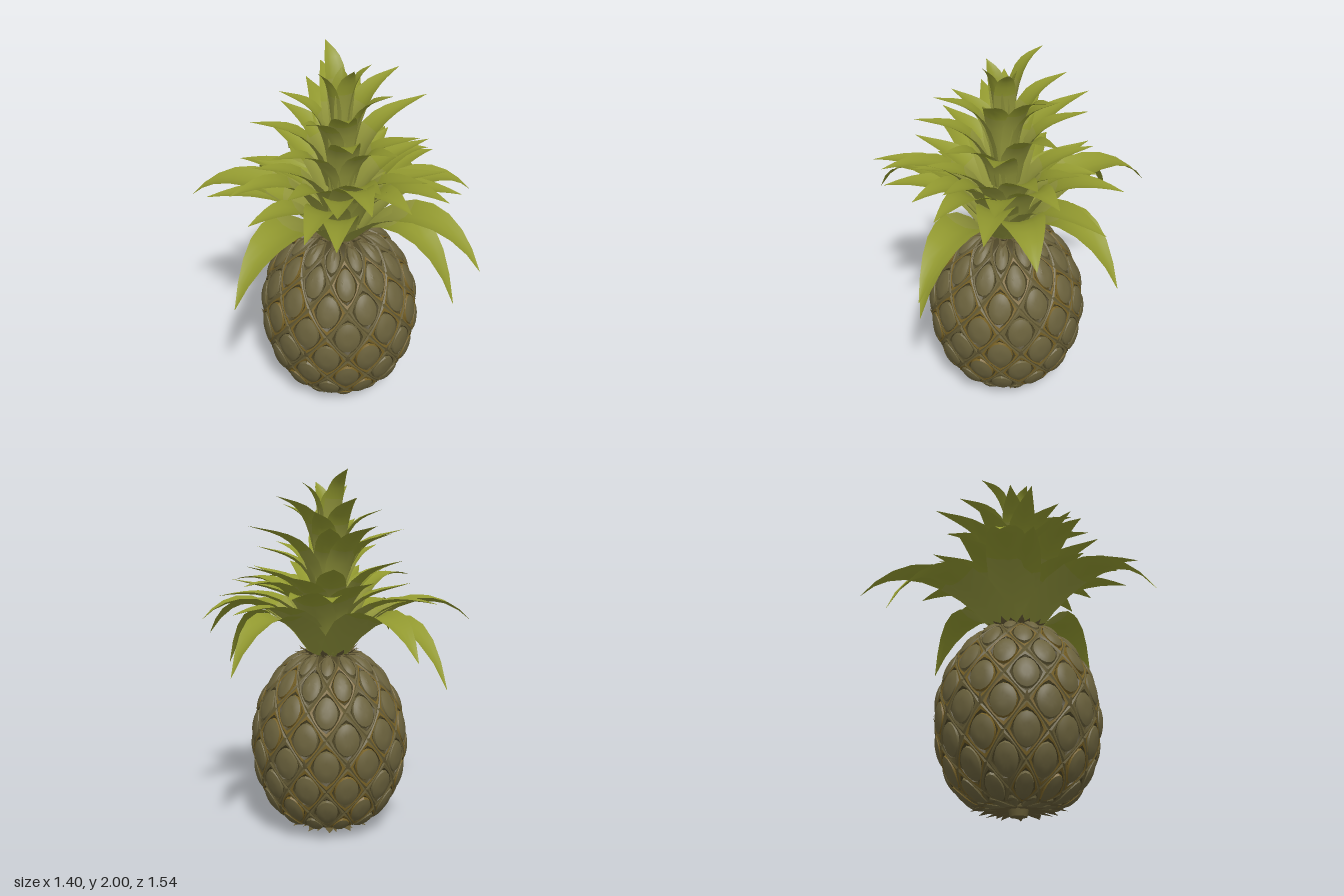
import * as THREE from 'three';
import { mergeGeometries, mergeVertices, toCreasedNormals } from 'three/addons/utils/BufferGeometryUtils.js';

const CX = 0.01, CZ = 0.112; // axis of fruit and crown

function material(name, color, side = THREE.FrontSide) {
  const m = new THREE.MeshStandardMaterial({ color, side });
  m.name = name;
  return m;
}

function surface(positions, index) {
  const g = new THREE.BufferGeometry();
  g.setAttribute('position', new THREE.Float32BufferAttribute(positions, 3));
  g.setIndex(index);
  return g;
}

// Fruit outline: radius, height
const outline = new THREE.CatmullRomCurve3([
  [0.04, 0.06], [0.16, 0.06], [0.235, 0.075], [0.315, 0.14], [0.38, 0.26], [0.415, 0.4], [0.422, 0.53],
  [0.402, 0.67], [0.353, 0.79], [0.28, 0.9], [0.2, 0.97], [0.12, 1.0],
].map(([r, y]) => new THREE.Vector3(r, y, 0)));

// Point on the fruit skin at an angle and arc position, lifted by h
function skin(theta, s, h) {
  const t = THREE.MathUtils.clamp(s, 0, 1);
  const p = outline.getPointAt(t), d = outline.getTangentAt(t);
  const r = p.x + d.y * h, y = p.y - d.x * h;
  return [r * Math.sin(theta), y, r * Math.cos(theta)];
}

// One band of a scale between two concentric rings: size, lift, roundness power
function scaleBand(theta, s, halfAngle, halfArc, outer, inner) {
  const sides = 16, pos = [], idx = [];
  for (const [f, h, power] of [outer, inner]) {
    for (let j = 0; j < sides; j++) {
      const a = (j / sides) * Math.PI * 2, c = Math.cos(a), d = Math.sin(a);
      const k = f / Math.pow(Math.abs(c) ** power + Math.abs(d) ** power, 1 / power);
      pos.push(...skin(theta + c * k * halfAngle, s + d * k * halfArc, h));
    }
  }
  for (let j = 0; j < sides; j++) {
    const n = (j + 1) % sides;
    idx.push(j, n, sides + n, j, sides + n, sides + j);
  }
  return surface(pos, idx);
}

// Arching leaf from the axis at rootY to a tip, cupped across its width
function leaf(tip, rootY, peakY, width, rootR, rise = 0.25, cup = 0.35) {
  const dir = new THREE.Vector3(tip[0] - CX, 0, tip[2] - CZ);
  const reach = dir.length();
  dir.normalize();
  const at = (r, y) => new THREE.Vector3(CX + dir.x * r, y, CZ + dir.z * r);
  const curve = new THREE.CubicBezierCurve3(
    at(rootR, rootY), at(rootR + (reach - rootR) * rise, peakY),
    at(rootR + (reach - rootR) * (rise + 0.4), peakY), at(reach, tip[1]));
  const side = new THREE.Vector3(dir.z, 0, -dir.x);
  const widths = [0.78, 0.91, 1, 0.98, 0.88, 0.71, 0.49, 0.25, 0.01];
  const pos = [], idx = [], across = 4, rows = widths.length;
  widths.forEach((w, i) => {
    const t = i / (rows - 1), p = curve.getPoint(t);
    const up = new THREE.Vector3().crossVectors(curve.getTangent(t), side).normalize();
    for (let j = 0; j <= across; j++) {
      const u = (j / across) * 2 - 1;
      const q = p.clone().addScaledVector(side, u * w * width)
        .addScaledVector(up, u * u * w * width * cup * (1 - 0.4 * t));
      pos.push(q.x, q.y, q.z);
      if (i < rows - 1 && j < across) {
        const a = i * (across + 1) + j, b = a + across + 1;
        idx.push(a, b, a + 1, a + 1, b, b + 1);
      }
    }
  });
  const g = surface(pos, idx);
  g.computeVertexNormals();
  return g;
}

// Leaf tips of the upper crown, tier by tier
const upperTiers = [
  { rootY: 1.16, rootR: 0.08, width: 0.085, rise: 0.22, tips: [
    [-0.46, 1.5, 0.15], [0.48, 1.5, 0.16], [0.48, 1.42, 0.38], [-0.2, 1.43, 0.62], [0.28, 1.48, 0.55],
    [0.02, 1.5, 0.6], [-0.38, 1.47, 0.45], [-0.25, 1.53, -0.24], [0.2, 1.5, -0.3], [0.02, 1.43, -0.38],
    [-0.38, 1.4, -0.12], [0.38, 1.46, -0.12]] },
  { rootY: 1.3, rootR: 0.07, width: 0.08, rise: 0.15, tips: [
    [-0.43, 1.69, 0.04], [0.5, 1.71, 0.07], [-0.4, 1.6, 0.28], [0.35, 1.6, 0.32], [-0.1, 1.7, 0.54],
    [0.15, 1.62, 0.5], [-0.2, 1.67, -0.2], [0.2, 1.7, -0.26], [0, 1.71, -0.38]] },
  { rootY: 1.43, rootR: 0.055, width: 0.07, rise: 0.12, tips: [
    [-0.26, 1.8, -0.02], [0.36, 1.86, 0.02], [0.2, 1.83, 0.3], [-0.08, 1.8, 0.44], [-0.25, 1.75, 0.28],
    [0.03, 1.85, -0.23], [0.2, 1.78, -0.1]] },
  { rootY: 1.53, rootR: 0.035, width: 0.055, rise: 0.12, tips: [
    [-0.12, 1.93, 0.14], [0.15, 1.94, 0.15], [0.03, 1.95, 0.23], [0.04, 1.91, 0.05], [0.01, 2, -0.1]] },
];

export function createModel() {
  const model = new THREE.Group();
  const mats = {
    groove: material('darkGroove', 0x4c4426),
    rim: material('scaleRim', 0x665c36),
    gold: material('goldenEdge', 0x776126),
    plate: material('scalePlate', 0x6b623d),
    bract: material('dryBract', 0x655a36, THREE.DoubleSide),
    leafBase: material('paleLeafGreen', 0x94983d, THREE.DoubleSide),
    leafTip: material('leafGreen', 0x91982f, THREE.DoubleSide),
  };
  const add = (name, geometry, mat, parent) => {
    const m = new THREE.Mesh(geometry, mat);
    m.name = name;
    parent.add(m);
    return m;
  };

  // Fruit body
  const fruit = new THREE.Group();
  fruit.name = 'fruit';
  fruit.position.set(CX, 0, CZ);
  model.add(fruit);
  const profile = outline.getSpacedPoints(32).map(p => new THREE.Vector2(p.x, p.y));
  profile.unshift(new THREE.Vector2(0, 0.06));
  profile.push(new THREE.Vector2(0, 1.01));
  add('fruitBody', new THREE.LatheGeometry(profile, 36), mats.groove, fruit);

  // Staggered scales: raised rim, bevel, thin groove and domed plate
  const count = 12, rows = 9, spacing = 0.108;
  const rings = [[1, 0.006, 1.1], [0.88, 0.013, 1.1], [0.74, 0.011, 1.3], [0.63, 0.002, 1.8],
    [0.58, 0.014, 1.9], [0.42, 0.02, 1.9], [0.2, 0.024, 2], [0.001, 0.02, 2]];
  const bandKeys = ['rim', 'rim', 'groove', 'plate', 'plate', 'plate', 'plate'];
  const bands = { groove: [], rim: [], gold: [], plate: [] };
  for (let i = 0; i < rows; i++) {
    for (let j = 0; j < count; j++) {
      const theta = ((j + (i % 2) / 2) / count) * Math.PI * 2;
      const golden = i > 0 && i < 8 && (i * 5 + j * 7) % 3 > 0;
      bandKeys.forEach((key, k) => {
        const gilded = golden && (k === 1 || (k === 3 && (i + j) % 2 === 0));
        bands[gilded ? 'gold' : key].push(scaleBand(theta, 0.069 + i * spacing,
          Math.PI / count, spacing, rings[k], rings[k + 1]));
      });
    }
  }
  for (const [key, list] of Object.entries(bands)) {
    add(key + 'Scales', toCreasedNormals(mergeVertices(mergeGeometries(list)), 0.5), mats[key], fruit);
  }

  // Stem stub under the fruit
  const stem = add('stemStub', new THREE.CylinderGeometry(0.06, 0.045, 0.07, 12), mats.rim, fruit);
  stem.position.y = 0.036;

  // Dry bracts under the fruit, around its neck and along its waist
  const bracts = [];
  const bractRing = (n, rootR, rootY, reach, tipY, width, turn = 0) => {
    for (let i = 0; i < n; i++) {
      const a = ((i + turn) / n) * Math.PI * 2;
      bracts.push(leaf([CX + Math.sin(a) * reach, tipY, CZ + Math.cos(a) * reach],
        rootY, (rootY + tipY) / 2 - 0.003, width, rootR));
    }
  };
  bractRing(11, 0.05, 0.035, 0.19, 0.015, 0.026);
  bractRing(13, 0.15, 0.05, 0.25, 0.035, 0.03, 0.5);
  bractRing(12, 0.1, 1.005, 0.2, 1.015, 0.024);
  bractRing(9, 0.12, 1.0, 0.17, 1.05, 0.02, 0.5);
  bractRing(12, 0.42, 0.42, 0.446, 0.52, 0.02, 0.5);
  add('dryBracts', mergeGeometries(bracts), mats.bract, model);

  // Crown core
  const crown = new THREE.Group();
  crown.name = 'crown';
  model.add(crown);
  const core = add('crownCore', new THREE.CylinderGeometry(0.02, 0.1, 0.55, 12), mats.leafBase, crown);
  core.position.set(CX, 1.27, CZ);

  // Each set of leaves has a paler base and a greener tip
  const addLeaves = (name, leaves) => {
    const part = (from, to) => mergeGeometries(leaves.map(g =>
      g.clone().setIndex(Array.from(g.index.array.slice(from, to)))));
    add(name + 'Bases', part(0, 72), mats.leafBase, crown);
    add(name + 'Tips', part(72), mats.leafTip, crown);
  };

  // Large drooping leaves, by tip
  addLeaves('largeLeaf', [
    [0.01, 1.09, -0.77], [-0.23, 0.92, -0.67], [-0.7, 1.19, -0.24], [0.7, 0.98, -0.17],
    [0.69, 1.22, 0.27], [-0.69, 1.03, 0.59], [0.48, 1.07, 0.77], [0.37, 0.88, 0.74],
  ].map(tip => leaf(tip, 1.0, 1.12 + 0.2 * tip[1], 0.125, 0.1, 0.36)));

  // Middle leaves, by tip
  addLeaves('middleLeaf', [
    [-0.66, 1.27, -0.05], [0.66, 1.28, -0.11], [-0.4, 1.3, -0.35], [0.46, 1.36, -0.33], [-0.6, 1.42, 0.24],
    [0.53, 1.32, 0.46], [-0.38, 1.38, 0.69], [-0.08, 1.48, 0.73], [0.15, 1.4, 0.66], [-0.23, 1.3, 0.69],
    [0.36, 1.4, 0.63], [0.22, 1.34, -0.32], [-0.53, 1.26, 0.28], [0.53, 1.4, 0.07],
  ].map((tip, i) => leaf(tip, 1.01 + (i % 3) * 0.05, tip[1] + 0.03, 0.1, 0.1)));

  // Upper tiers, rising steeply before they flare
  addLeaves('upperLeaf', upperTiers.flatMap(({ rootY, rootR, width, rise, tips }) =>
    tips.map(tip => leaf(tip, rootY, tip[1] - 0.05, width, rootR, rise))));

  return model;
}
